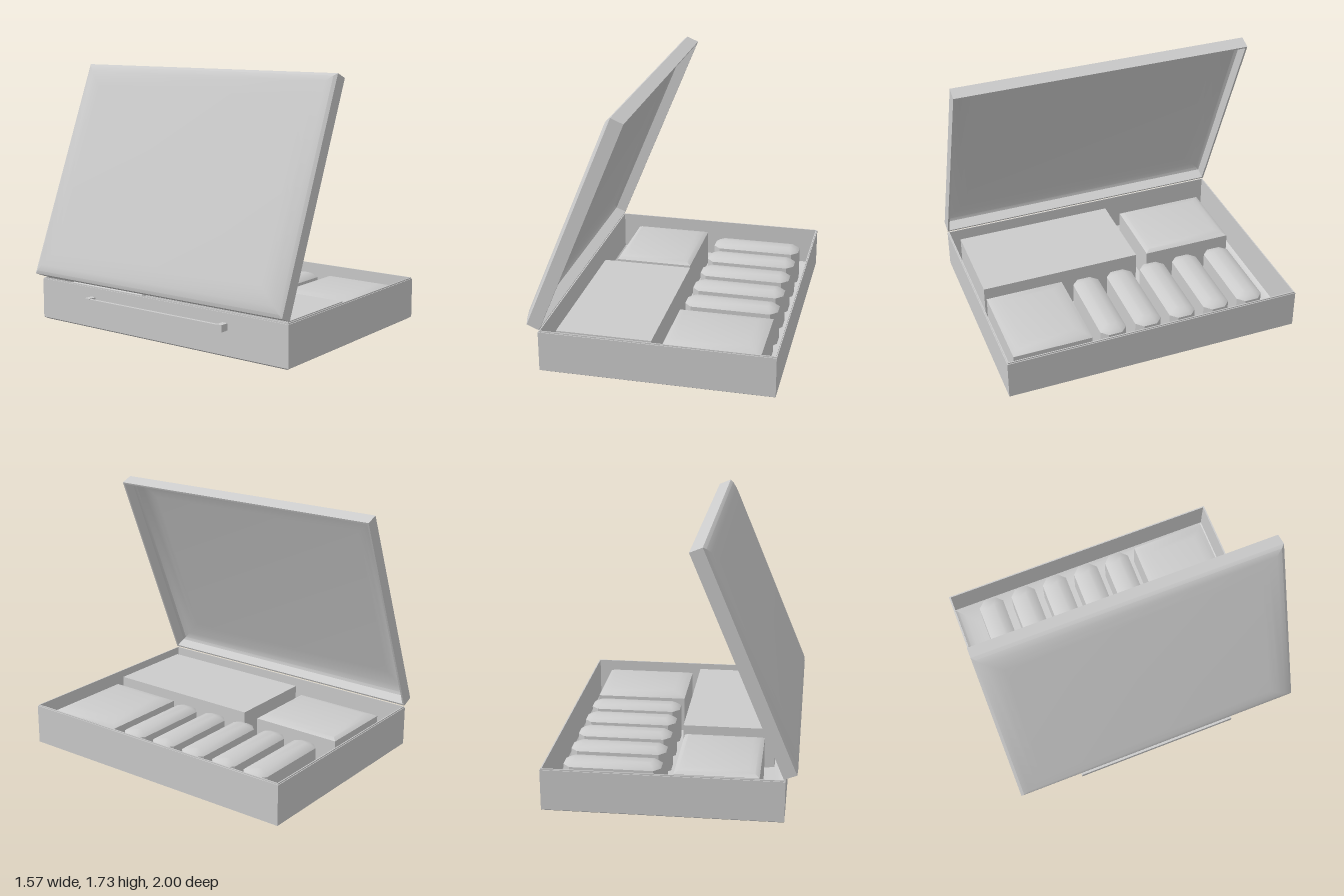
import * as THREE from 'three';
import { toCreasedNormals } from 'three/addons/utils/BufferGeometryUtils.js';

const material = new THREE.MeshStandardMaterial({ color: 0xcccccc });

// Rectangle outline (corners optionally cut), counter-clockwise seen from above
function outline(w, d, cut, inset) {
  const x = w / 2 - inset, z = d / 2 - inset, c = Math.max(cut - inset * 0.5, 0);
  if (!cut) return [[x, z], [x, -z], [-x, -z], [-x, z]];
  return [[x, z - c], [x, -z + c], [x - c, -z], [-x + c, -z],
    [-x, -z + c], [-x, z - c], [-x + c, z], [x - c, z]];
}

// Joins a stack of [inset, height] outlines into a closed solid
function loft(w, d, sections, cut = 0) {
  const loops = sections.map(([inset, y]) =>
    outline(w, d, cut, inset).map(([x, z]) => [x, y, z]));
  const pos = [];
  const tri = (a, b, c) => pos.push(...a, ...b, ...c);
  for (let s = 0; s < loops.length - 1; s++) {
    const lo = loops[s], hi = loops[s + 1], n = lo.length;
    for (let i = 0; i < n; i++) {
      const j = (i + 1) % n;
      tri(lo[i], lo[j], hi[j]);
      tri(lo[i], hi[j], hi[i]);
    }
  }
  const first = loops[0], last = loops[loops.length - 1];
  for (let i = 1; i < first.length - 1; i++) {
    tri(first[0], first[i + 1], first[i]);
    tri(last[0], last[i], last[i + 1]);
  }
  const geo = new THREE.BufferGeometry();
  geo.setAttribute('position', new THREE.Float32BufferAttribute(pos, 3));
  return toCreasedNormals(geo, 0.65);
}

function add(parent, name, geometry, x = 0, y = 0, z = 0) {
  const mesh = new THREE.Mesh(geometry, material);
  mesh.name = name;
  mesh.position.set(x, y, z);
  parent.add(mesh);
  return mesh;
}

// Hollow tray: curved outer bottom, thin walls, rim, curved inner floor
function tray(w, d, rim, height) {
  return loft(w, d, [
    [0.17, 0], [0.12, 0.003], [0.06, 0.013], [0.02, 0.027], [0, 0.04],
    ...rim,
    [0.012, height], [0.012, 0.05], [0.03, 0.038], [0.07, 0.024], [0.13, 0.014], [0.17, 0.012],
  ]);
}

export function createModel() {
  const model = new THREE.Group();
  model.name = 'hingedCase';

  // Base with a narrow stepped lip
  add(model, 'base', tray(1.5, 2, [[0, 0.305], [0.005, 0.305], [0.005, 0.313]], 0.313), 0.04);

  // Lid, the same shell but shallower, swung open
  const lid = add(model, 'lid', tray(1.493, 2, [[0, 0.125]], 0.125), -0.53, 1.058);
  lid.rotation.z = THREE.MathUtils.degToRad(-112.5);

  // Contents standing on the floor
  const floor = 0.012;
  const block = (name, x0, x1, z0, z1, side, top, bevel, cut) =>
    add(model, name, loft(x1 - x0, z1 - z0, [
      [0, floor], [0, side],
      [bevel * 0.4, side + (top - side) * 0.6],
      [bevel, top],
    ], cut), (x0 + x1) / 2, 0, (z0 + z1) / 2);

  for (let i = 0; i < 5; i++) {
    const z = -0.73 + i * 0.2438;
    block('roundedBar', 0.07, 0.69, z - 0.09, z + 0.09, 0.25, 0.28, 0.06, 0.045);
  }
  block('squareBlock', 0.06, 0.68, 0.4, 0.93, 0.255, 0.285, 0.09);
  block('sideBlock', -0.55, -0.02, -0.88, -0.26, 0.265, 0.29, 0.07);
  add(model, 'flatBlock', new THREE.BoxGeometry(0.615, 0.28, 1.1), -0.3075, floor + 0.14, 0.38);

  // Carrying handle on the hinge side
  const handle = new THREE.Group();
  handle.name = 'handle';
  model.add(handle);
  add(handle, 'handleBar', new THREE.BoxGeometry(0.02, 0.04, 1.12), -0.76, 0.222, 0);
  for (const s of [-1, 1]) {
    add(handle, 'handlePost', new THREE.BoxGeometry(0.062, 0.045, 0.04), -0.739, 0.222, s * 0.54);
  }
  return model;
}
